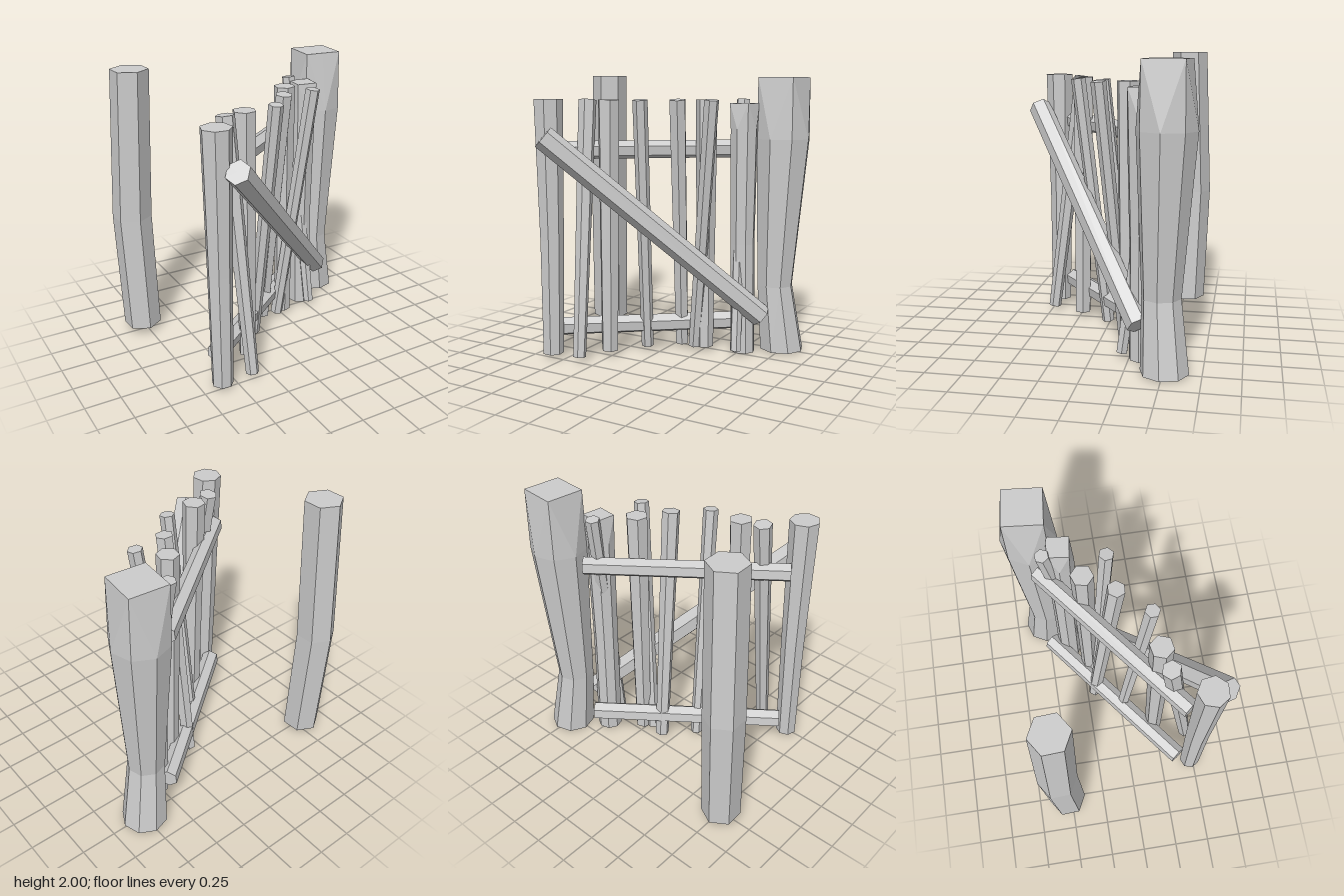
import * as THREE from 'three';

const material = new THREE.MeshStandardMaterial({ color: 0xcccccc, flatShading: true });

// Upright post lofted through level rings [x, y, z, radius].
// With squareTop, an 8-sided post ends in a square cap with cut corners.
function post(name, sides, rot, rings, squareTop = false) {
  const pos = [], index = [];
  rings.forEach(([x, y, z, r], j) => {
    const square = squareTop && j === rings.length - 1;
    for (let i = 0; i < sides; i++) {
      const a = rot + (i / sides) * Math.PI * 2;
      const k = square && i % 2 === 0 ? r * Math.SQRT1_2 : r;
      pos.push(x + Math.cos(a) * k, y, z + Math.sin(a) * k);
    }
  });
  for (let j = 0; j < rings.length - 1; j++) {
    for (let i = 0; i < sides; i++) {
      const n = (i + 1) % sides;
      const a = j * sides + i, b = j * sides + n, c = a + sides, d = b + sides;
      if (i % 2) index.push(a, c, b, b, c, d);
      else index.push(a, d, b, a, c, d);
    }
  }
  // End caps
  const top = (rings.length - 1) * sides;
  for (let i = 1; i < sides - 1; i++) {
    index.push(0, i, i + 1, top, top + i + 1, top + i);
  }
  const g = new THREE.BufferGeometry();
  g.setAttribute('position', new THREE.Float32BufferAttribute(pos, 3));
  g.setIndex(index);
  const flat = g.toNonIndexed();
  flat.computeVertexNormals();
  const mesh = new THREE.Mesh(flat, material);
  mesh.name = name;
  return mesh;
}

// Straight pole between two points
function pole(name, from, to, r0, r1, sides = 6, twist = 0) {
  const a = new THREE.Vector3(...from), b = new THREE.Vector3(...to);
  const dir = b.clone().sub(a);
  const g = new THREE.CylinderGeometry(r1, r0, dir.length(), sides);
  g.rotateY(twist);
  const mesh = new THREE.Mesh(g, material);
  mesh.quaternion.setFromUnitVectors(new THREE.Vector3(0, 1, 0), dir.normalize());
  mesh.position.copy(a).add(b).multiplyScalar(0.5);
  mesh.name = name;
  return mesh;
}

export function createModel() {
  const model = new THREE.Group();
  model.name = 'openGate';

  // Posts either side of the opening
  model.add(post('latchPost', 6, 0.47, [
    [-0.775, 0.05, -0.53, 0.135], [-0.795, 0.92, -0.555, 0.14], [-0.76, 2, -0.52, 0.133],
  ]));
  model.add(post('hingePost', 8, 0.1, [
    [0.745, 0.01, -0.51, 0.16], [0.695, 0.49, -0.48, 0.13],
    [0.725, 1.55, -0.505, 0.196], [0.725, 1.98, -0.505, 0.19],
  ], true));

  // Gate leaf, swung open
  const gate = new THREE.Group();
  gate.name = 'gate';
  model.add(gate);
  gate.add(post('hingeStile', 8, 0.12, [
    [0.51, 0, -0.335, 0.09], [0.5, 0.8, -0.33, 0.088],
    [0.505, 1.62, -0.32, 0.098], [0.505, 1.8, -0.32, 0.105],
  ], true));
  gate.add(post('outerStile', 7, 0.3, [
    [-0.605, 0.03, 0.475, 0.075], [-0.605, 0.85, 0.468, 0.085], [-0.61, 1.83, 0.475, 0.103],
  ]));

  // Pickets: bottom x, z, top x, z, bottom radius, top radius
  [
    [-0.375, 0.475, -0.435, 0.252, 0.046, 0.064],
    [-0.28, 0.23, -0.28, 0.22, 0.062, 0.08],
    [-0.1, 0.0, -0.035, 0.205, 0.044, 0.052],
    [0.085, -0.19, 0.145, 0.005, 0.05, 0.062],
    [0.27, -0.2, 0.27, -0.195, 0.06, 0.077],
    [0.2, -0.17, 0.395, -0.02, 0.045, 0.052],
    [0.515, -0.2, 0.445, -0.43, 0.04, 0.05],
  ].forEach(([x0, z0, x1, z1, r0, r1], i) => {
    gate.add(pole('picket' + (i + 1), [x0, 0.035, z0], [x1, 1.825, z1], r0, r1, 6, 0.3 + i * 0.4));
  });

  // Back rails and the diagonal brace across the front
  gate.add(pole('topRail', [-0.6, 1.475, 0.37], [0.51, 1.475, -0.48], 0.065, 0.065, 6, 0.25));
  gate.add(pole('bottomRail', [-0.6, 0.2, 0.37], [0.51, 0.2, -0.48], 0.068, 0.068, 6, 0.25));
  gate.add(pole('brace', [0.655, 0.28, -0.33], [-0.545, 1.58, 0.62], 0.08, 0.084, 6, 0.2));
  return model;
}
